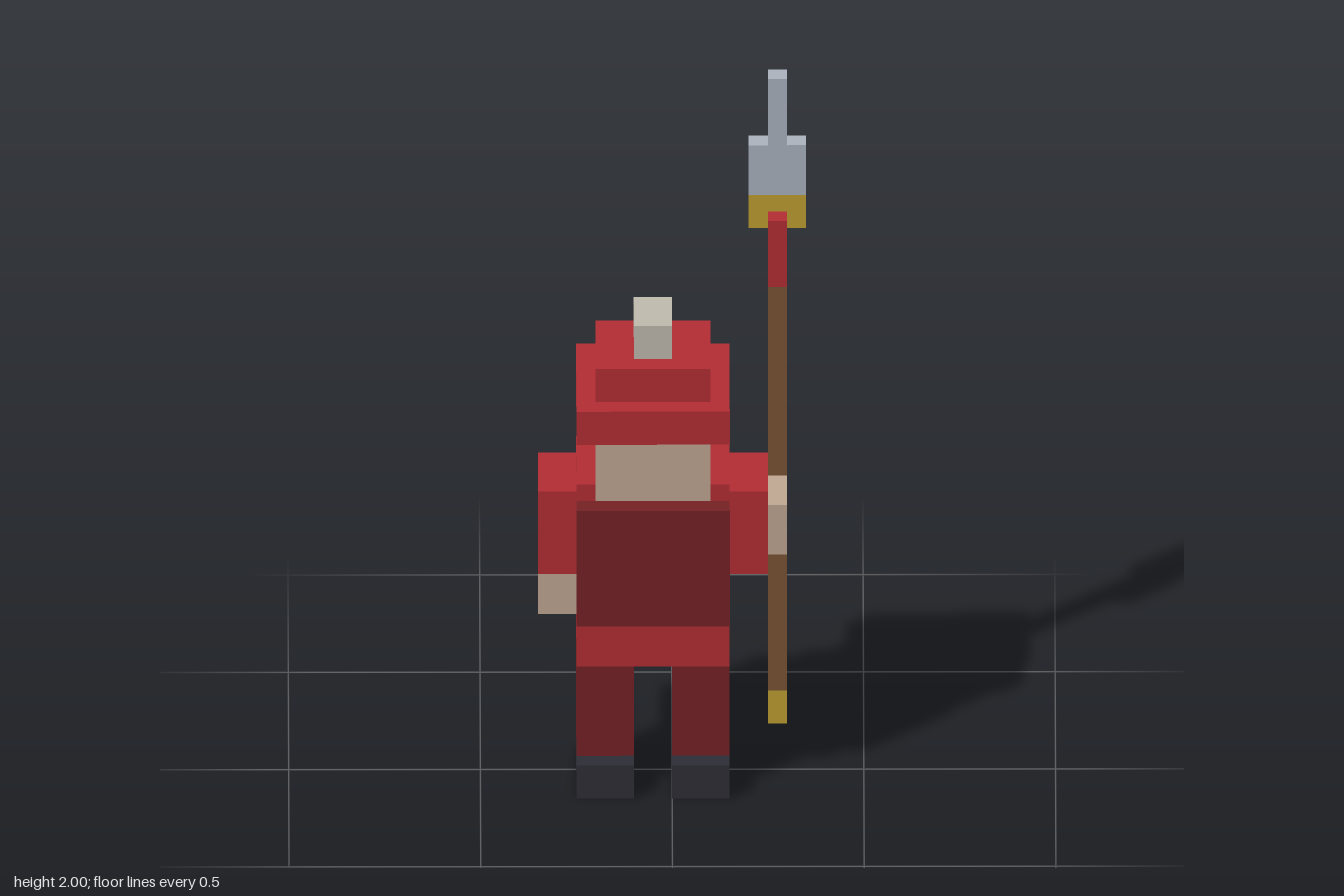
import * as THREE from 'three';

const mat = (name, color) => {
  const m = new THREE.MeshStandardMaterial({ color });
  m.name = name;
  return m;
};

export function createModel() {
  const model = new THREE.Group();
  model.name = 'guard';

  const red = mat('red cloth', 0xb42d34);
  const darkRed = mat('dark red cloth', 0x752124);
  const skin = mat('skin', 0xc0a792);
  const gold = mat('gold', 0xbd9e32);
  const white = mat('off white', 0xbfbaae);
  const steel = mat('steel', 0xabb3be);
  const wood = mat('wood', 0x7a5334);
  const black = mat('black', 0x2d2d35);

  const part = (name) => {
    const g = new THREE.Group();
    g.name = name;
    model.add(g);
    return g;
  };

  // Box given by its extents on each axis
  const box = (parent, name, material, [x0, x1], [y0, y1], [z0, z1]) => {
    const mesh = new THREE.Mesh(new THREE.BoxGeometry(x1 - x0, y1 - y0, z1 - z0), material);
    mesh.position.set((x0 + x1) / 2, (y0 + y1) / 2, (z0 + z1) / 2);
    mesh.name = name;
    parent.add(mesh);
  };

  // Flat painted patch with rounded corners, facing -z
  const patch = (parent, name, material, x, y, z, w, h, r) => {
    const s = new THREE.Shape();
    const a = w / 2, b = h / 2;
    s.absarc(a - r, b - r, r, 0, Math.PI / 2);
    s.absarc(r - a, b - r, r, Math.PI / 2, Math.PI);
    s.absarc(r - a, r - b, r, Math.PI, Math.PI * 1.5);
    s.absarc(a - r, r - b, r, Math.PI * 1.5, Math.PI * 2);
    const mesh = new THREE.Mesh(new THREE.ShapeGeometry(s, 6), material);
    mesh.rotation.y = Math.PI;
    mesh.position.set(x, y, z);
    mesh.name = name;
    parent.add(mesh);
  };

  // Legs with shoes and a pale stripe down the front
  for (const [side, x] of [['right', -0.25], ['left', 0]]) {
    const leg = part(side + 'Leg');
    box(leg, 'shoe', black, [x, x + 0.15], [0, 0.1], [-0.1, 0.15]);
    box(leg, 'trouser', darkRed, [x, x + 0.15], [0.1, 0.4], [-0.05, 0.1]);
    patch(leg, 'trouserStripe', white, x + 0.075, 0.285, -0.053, 0.05, 0.27, 0.02);
  }

  // Torso: skirt, belt, chest and shoulders either side of the neck
  const torso = part('torso');
  const wide = [-0.25, 0.15];
  box(torso, 'skirt', red, wide, [0.4, 0.55], [-0.1, 0.15]);
  box(torso, 'belt', white, wide, [0.55, 0.65], [-0.1, 0.1]);
  box(torso, 'chest', red, wide, [0.65, 0.9], [-0.1, 0.1]);
  for (const x of [-0.25, 0.1])
    box(torso, 'shoulder', red, [x, x + 0.05], [0.9, 0.95], [-0.1, 0.15]);
  box(torso, 'cape', darkRed, wide, [0.55, 0.9], [0.1, 0.2]);
  patch(torso, 'chestPlate', gold, -0.05, 0.825, -0.103, 0.3, 0.25, 0.001);
  patch(torso, 'chestPlateInset', red, -0.05, 0.805, -0.106, 0.2, 0.095, 0.015);

  // Head and eyes
  const head = part('head');
  box(head, 'face', skin, [-0.2, 0.1], [0.9, 1.1], [-0.1, 0.15]);
  for (const x of [-0.125, 0.025])
    patch(head, 'eye', black, x, 1.03, -0.103, 0.046, 0.046, 0.022);

  // Hat: brim with a gold badge let into it, crown and knob
  const hat = part('hat');
  box(hat, 'brim', red, wide, [1.1, 1.2], [-0.1, 0.2]);
  for (const x of [-0.25, 0.05])
    box(hat, 'brimFront', red, [x, x + 0.1], [1.1, 1.2], [-0.15, -0.1]);
  box(hat, 'badge', gold, [-0.15, 0.05], [1.1, 1.2], [-0.15, -0.1]);
  box(hat, 'crown', red, [-0.2, 0.1], [1.2, 1.3], [-0.1, 0.15]);
  box(hat, 'knob', white, [-0.1, 0], [1.3, 1.4], [-0.05, 0.1]);

  // Hanging right arm
  const rightArm = part('rightArm');
  box(rightArm, 'sleeve', red, [-0.35, -0.25], [0.65, 0.9], [-0.1, 0.1]);
  box(rightArm, 'hand', skin, [-0.35, -0.25], [0.5, 0.65], [-0.15, 0.05]);

  // Left arm, its sleeve fitted round the hand that grips the spear
  const leftArm = part('leftArm');
  box(leftArm, 'upperSleeve', red, [0.15, 0.25], [0.8, 0.9], [-0.1, 0.1]);
  box(leftArm, 'rearSleeve', red, [0.15, 0.25], [0.65, 0.8], [0, 0.1]);
  box(leftArm, 'innerSleeve', red, [0.15, 0.2], [0.65, 0.8], [-0.1, 0]);
  box(leftArm, 'hand', skin, [0.2, 0.3], [0.65, 0.8], [-0.15, 0]);

  // Spear
  const spear = part('spear');
  const thin = [0.25, 0.3], broad = [0.2, 0.35], depth = [-0.2, -0.15];
  box(spear, 'buttCap', gold, thin, [0.05, 0.15], depth);
  box(spear, 'shaft', wood, thin, [0.15, 1.55], depth);
  box(spear, 'collar', gold, broad, [1.55, 1.65], depth);
  box(spear, 'blade', steel, broad, [1.65, 1.8], depth);
  box(spear, 'tip', steel, thin, [1.8, 2], depth);
  box(spear, 'tassel', red, thin, [1.4, 1.6], [-0.15, -0.1]);

  return model;
}
